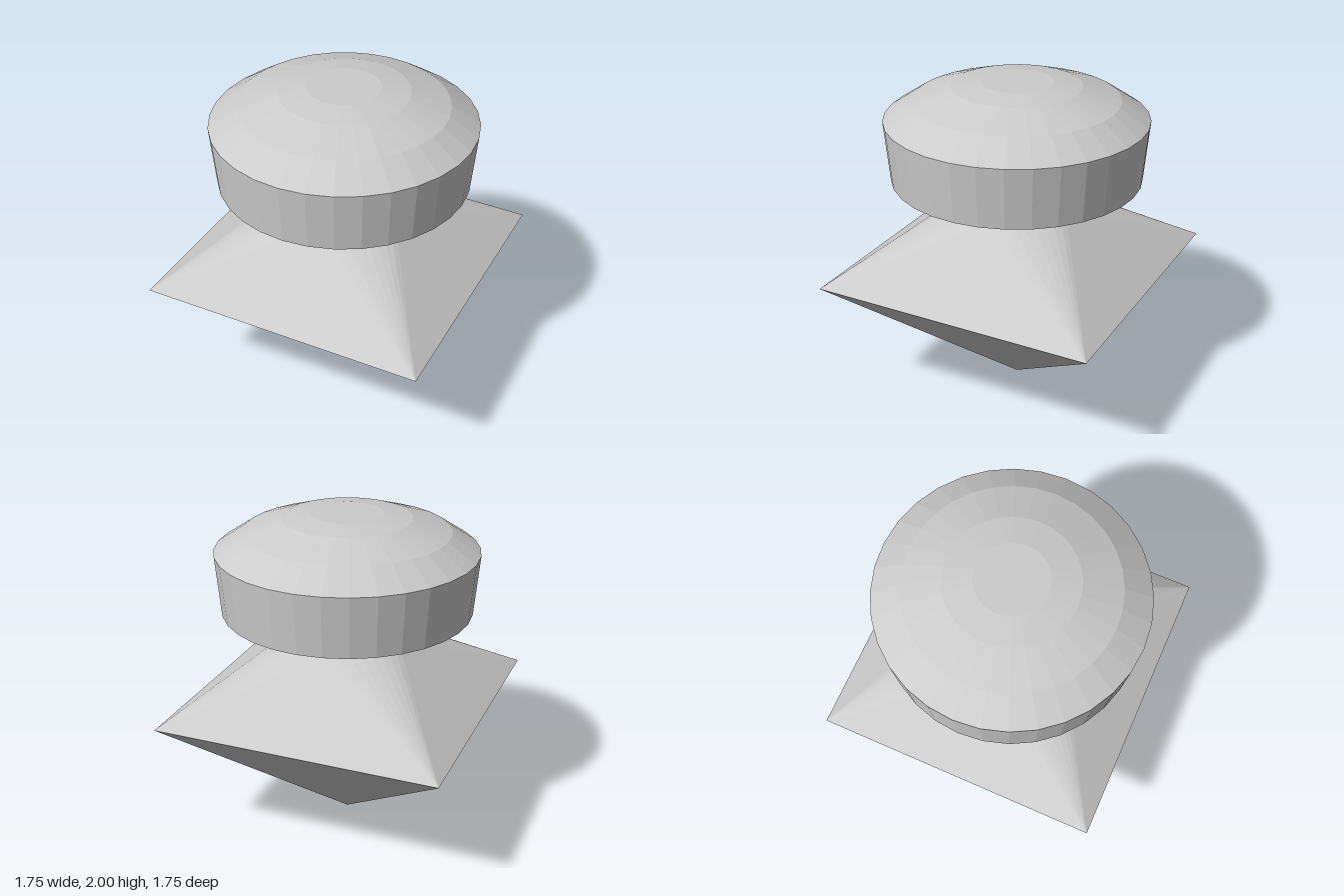
import * as THREE from 'three';

const SIDES = 32;
const HALF = 0.875, RIM_Y = 0.822;     // square rim
const NECK_R = 0.33, NECK_Y = 1.235;   // round neck

// Point at angle t, measured from +z towards +x
const polar = (r, t, y) => [r * Math.sin(t), y, r * Math.cos(t)];

function triangles(list) {
  const geometry = new THREE.BufferGeometry();
  geometry.setAttribute('position', new THREE.Float32BufferAttribute(list.flat(2), 3));
  geometry.computeVertexNormals();
  return geometry;
}

export function createModel() {
  const group = new THREE.Group();
  group.name = 'knob';
  const material = new THREE.MeshStandardMaterial({ color: 0xcccccc, flatShading: true });
  const add = (name, geometry) => {
    const mesh = new THREE.Mesh(geometry, material);
    mesh.name = name;
    group.add(mesh);
  };

  const corner = q => polar(HALF * Math.SQRT2, (q + 0.5) * Math.PI / 2, RIM_Y);
  const neck = i => polar(NECK_R, i / SIDES * Math.PI * 2, NECK_Y);
  const tip = [0, 0, 0];
  const perQuarter = SIDES / 4;
  const shoulder = [], point = [];

  for (let q = 0; q < 4; q++) {
    // Fan from each square corner to its quarter of the round neck
    for (let i = q * perQuarter; i < (q + 1) * perQuarter; i++) {
      shoulder.push([corner(q), neck(i + 1), neck(i)]);
    }
    // Flat triangle along each side of the square
    shoulder.push([corner(q), corner(q + 1), neck((q + 1) * perQuarter)]);
    // Inverted pyramid below
    point.push([tip, corner(q + 1), corner(q)]);
  }
  add('squareShoulder', triangles(shoulder));
  add('pyramidPoint', triangles(point));

  // Round head: flared underside, slightly tapered band and faceted dome
  const profile = [
    [NECK_R, NECK_Y], [0.757, 1.41], [0.79, 1.78],
    [0.617, 1.895], [0.385, 1.975], [0.215, 2], [0, 2],
  ].map(([r, y]) => new THREE.Vector2(r, y));
  add('roundHead', new THREE.LatheGeometry(profile, SIDES));

  return group;
}
